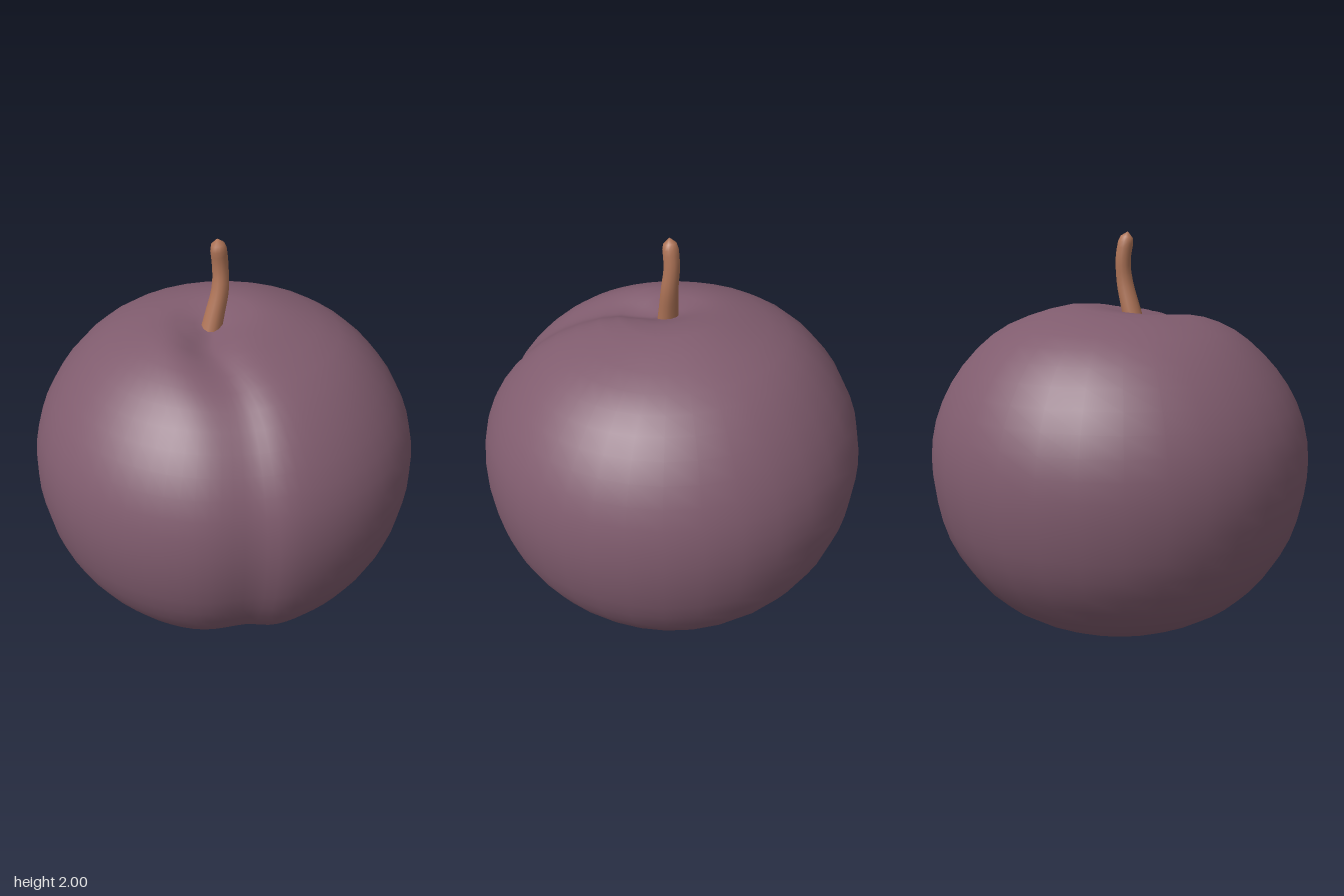
import * as THREE from 'three';
import { mergeVertices } from 'three/addons/utils/BufferGeometryUtils.js';

const bell = (v, centre, width) => Math.exp(-(((v - centre) / width) ** 2));

// Round body: a lathe whose columns bunch at the front, then tilted, dimpled and creased
function bodyGeometry() {
  const outline = [
    [0, 0.005], [0.1, 0.01], [0.28, 0.045], [0.45, 0.115], [0.63, 0.22], [0.77, 0.37],
    [0.87, 0.55], [0.92, 0.74], [0.933, 0.92], [0.905, 1.1], [0.825, 1.275], [0.7, 1.43],
    [0.55, 1.54], [0.36, 1.605], [0.18, 1.63], [0, 1.63],
  ].map(([r, y]) => new THREE.Vector2(r, y));
  const profile = new THREE.SplineCurve(outline).getPoints(30);
  profile[0].x = profile[30].x = 0;
  let geo = new THREE.LatheGeometry(profile, 48);
  geo.deleteAttribute('uv');
  geo.deleteAttribute('normal');
  geo = mergeVertices(geo, 1e-5);

  const p = geo.attributes.position;
  for (let i = 0; i < p.count; i++) {
    const r = Math.hypot(p.getX(i), p.getZ(i));
    let y = p.getY(i);
    const u = r < 1e-6 ? 0 : Math.atan2(p.getX(i), p.getZ(i));
    const a = u - 0.6 * Math.sin(u);
    const front = Math.max(0, Math.cos(a)) * Math.min(1, r / 0.2);
    const top = THREE.MathUtils.smoothstep(y, 1.0, 1.6);
    let x = r * Math.sin(a);
    let z = r * Math.cos(a);

    // crease running down the front, steeper on its left wall
    const d = a * r;
    const crease = front * Math.exp(-((d / (d < 0 ? 0.16 : 0.1)) ** 2));
    const depth = 0.03 + 0.035 * top * bell(r, 0.15, 0.25);
    const shrink = 1 - crease * depth / Math.hypot(r, y - 0.85);
    x *= shrink;
    z *= shrink;
    y = 0.85 + (y - 0.85) * shrink;

    // the crease bends sideways as it reaches the stem
    x -= top * (0.07 * bell(r, 0, 0.3) + 0.07 * front * bell(r, 0.3, 0.25));
    z += top * 0.04 * bell(r, 0, 0.3);

    // higher shoulder at the back, shallow dimple round the stem
    y += top * (-0.03 * z + 0.03 * bell(Math.hypot(x - 0.12, z + 0.12), 0, 0.25));
    y -= top * 0.055 * bell(Math.hypot(x + 0.07, z - 0.04), 0, 0.14);
    p.setXYZ(i, x, y, z);
  }
  geo.computeVertexNormals();
  return geo;
}

// Curved stem: a tube narrowed towards a rounded tip
function stemGeometry() {
  const path = new THREE.CatmullRomCurve3([
    new THREE.Vector3(-0.075, 1.53, 0.04),
    new THREE.Vector3(-0.05, 1.63, 0.028),
    new THREE.Vector3(-0.02, 1.76, 0.015),
    new THREE.Vector3(-0.018, 1.87, 0.005),
    new THREE.Vector3(-0.034, 2.0, 0.02),
  ]);
  const rings = 18;
  let geo = new THREE.TubeGeometry(path, rings, 1, 12);
  const p = geo.attributes.position;
  const v = new THREE.Vector3();
  for (let i = 0; i <= rings; i++) {
    const t = i / rings;
    const centre = path.getPointAt(t);
    const radius = i === rings ? 0 : i === rings - 1 ? 0.031 : 0.052 - 0.014 * Math.min(1, t * 1.6);
    for (let j = 0; j <= 12; j++) {
      const k = i * 13 + j;
      v.fromBufferAttribute(p, k).sub(centre).multiplyScalar(radius).add(centre);
      p.setXYZ(k, v.x, v.y, v.z);
    }
  }
  geo.deleteAttribute('uv');
  geo.deleteAttribute('normal');
  geo = mergeVertices(geo, 1e-5);
  geo.computeVertexNormals();
  return geo;
}

export function createModel() {
  const plumSkin = new THREE.MeshStandardMaterial({ name: 'plum skin', color: 0x805c6e });
  const brownStem = new THREE.MeshStandardMaterial({ name: 'brown stem', color: 0xb07558 });

  const group = new THREE.Group();
  group.name = 'plum';
  const body = new THREE.Mesh(bodyGeometry(), plumSkin);
  body.name = 'fruitBody';
  const stem = new THREE.Mesh(stemGeometry(), brownStem);
  stem.name = 'stem';
  group.add(body, stem);
  return group;
}
